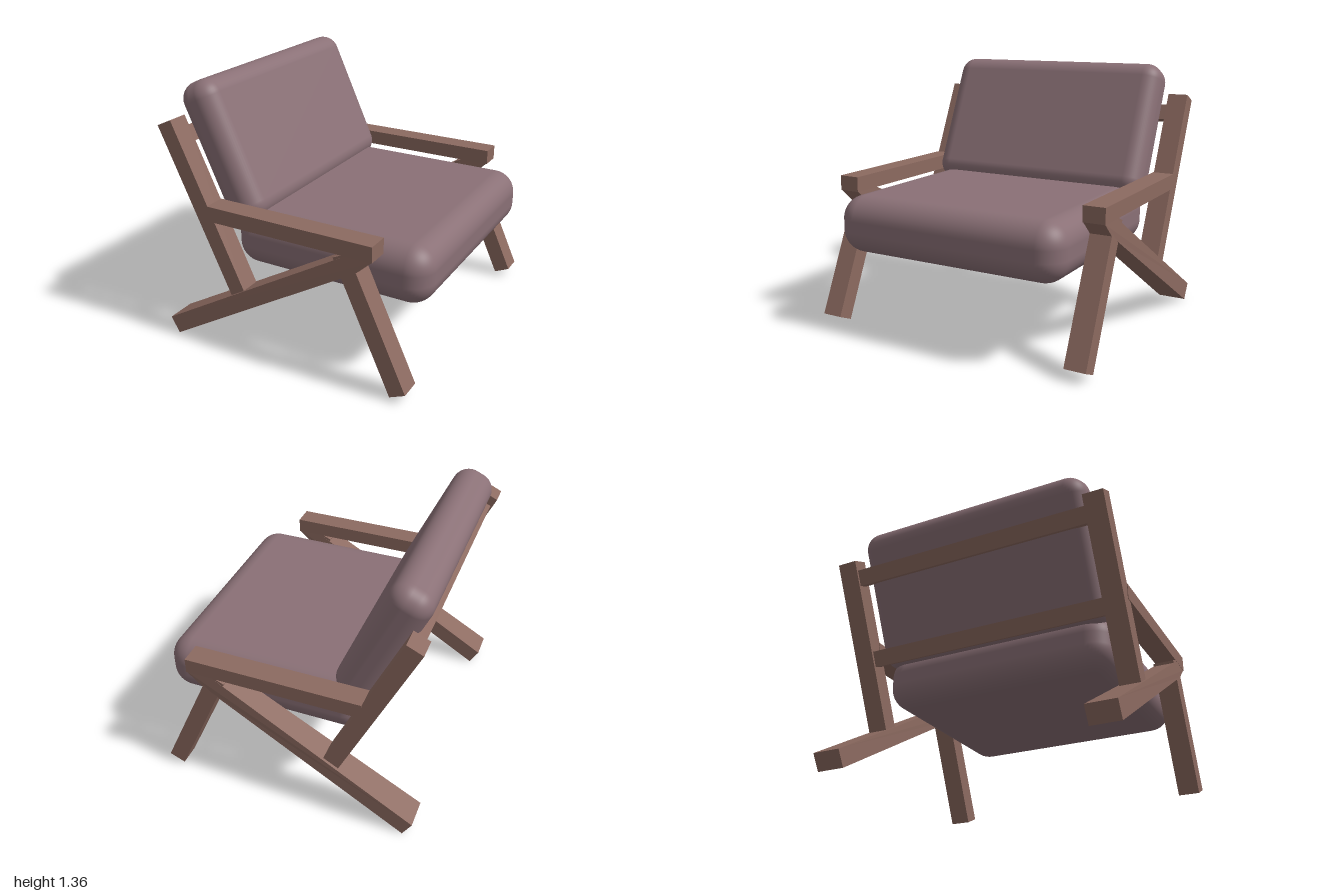
import * as THREE from 'three';
import { RoundedBoxGeometry } from 'three/addons/geometries/RoundedBoxGeometry.js';

const wood = new THREE.MeshStandardMaterial({ color: 0x8c6a60 });
const fabric = new THREE.MeshStandardMaterial({ color: 0x8a7076 });
const LEAN = THREE.MathUtils.degToRad(24.5);

function addMesh(parent, name, geometry, material) {
  const mesh = new THREE.Mesh(geometry, material);
  mesh.name = name;
  parent.add(mesh);
  return mesh;
}

// straight timber between two [z, y] points in a side plane
function beam(parent, name, [z0, y0], [z1, y1], width, thick) {
  const length = Math.hypot(z1 - z0, y1 - y0);
  const mesh = addMesh(parent, name, new THREE.BoxGeometry(width, length, thick), wood);
  mesh.position.set(0, (y0 + y1) / 2, (z0 + z1) / 2);
  mesh.rotation.x = Math.atan2(z1 - z0, y1 - y0);
  return mesh;
}

// diagonal back leg: side outline, wider at the foot, mitred under the armrest
function rearLegGeometry() {
  const outline = [[-0.678, 0.083], [-0.63, 0], [0.44, 0.628], [0.525, 0.705], [0.39, 0.705]];
  const shape = new THREE.Shape(outline.map(([z, y]) => new THREE.Vector2(z, y)));
  const geo = new THREE.ExtrudeGeometry(shape, { depth: 1, bevelEnabled: false });
  geo.translate(0, 0, -0.5).rotateY(-Math.PI / 2);
  const pos = geo.attributes.position;
  for (let i = 0; i < pos.count; i++) {
    const t = THREE.MathUtils.clamp((pos.getZ(i) + 0.65) / 1.1, 0, 1);
    pos.setX(i, pos.getX(i) * THREE.MathUtils.lerp(0.153, 0.11, t));
  }
  geo.computeVertexNormals();
  return geo;
}

// cushion with softly domed broad faces (thin axis is 'y' or 'z')
function cushionGeometry(w, h, d, radius, axis, puff) {
  const geo = new RoundedBoxGeometry(w, h, d, 6, radius);
  const pos = geo.attributes.position;
  const p = new THREE.Vector3();
  for (let i = 0; i < pos.count; i++) {
    p.fromBufferAttribute(pos, i);
    const other = axis === 'y' ? p.z / d : p.y / h;
    const dome = Math.max(0, 1 - 4 * (p.x / w) ** 2) * Math.max(0, 1 - 4 * other ** 2);
    p[axis] += Math.sign(p[axis]) * puff * dome;
    pos.setXYZ(i, p.x, p.y, p.z);
  }
  return geo;
}

export function createModel() {
  const model = new THREE.Group();
  model.name = 'loungeChair';
  const chair = new THREE.Group();
  chair.name = 'chair';
  chair.rotation.y = THREE.MathUtils.degToRad(25.5);
  model.add(chair);

  // side frames
  for (const [side, x] of [['left', 0.716], ['right', -0.714]]) {
    const frame = new THREE.Group();
    frame.name = side + 'Frame';
    frame.position.x = x;
    chair.add(frame);
    beam(frame, 'frontLeg', [0.664, 0.037], [0.362, 0.7], 0.112, 0.09);
    beam(frame, 'backPost', [-0.225, 0.31], [-0.627, 1.176], 0.108, 0.09);
    addMesh(frame, 'rearLeg', rearLegGeometry(), wood);
    const arm = addMesh(frame, 'armrest', new THREE.BoxGeometry(0.114, 0.08, 0.92), wood);
    arm.position.set(0, 0.742, 0.065);
  }

  // cross rails between the posts
  for (const [name, z, y] of [['upperRail', -0.595, 1.085], ['lowerRail', -0.405, 0.68]]) {
    const rail = addMesh(chair, name, new THREE.BoxGeometry(1.35, 0.085, 0.05), wood);
    rail.position.set(0, y, z);
    rail.rotation.x = -LEAN;
  }

  // cushions
  const seat = addMesh(chair, 'seatCushion', cushionGeometry(1.28, 0.3, 1.09, 0.12, 'y', 0.006), fabric);
  seat.position.set(0, 0.57, 0.19);
  const back = addMesh(chair, 'backCushion', cushionGeometry(1.29, 0.756, 0.22, 0.09, 'z', 0.006), fabric);
  back.position.set(0, 1.0, -0.42);
  back.rotation.x = -LEAN;

  return model;
}
